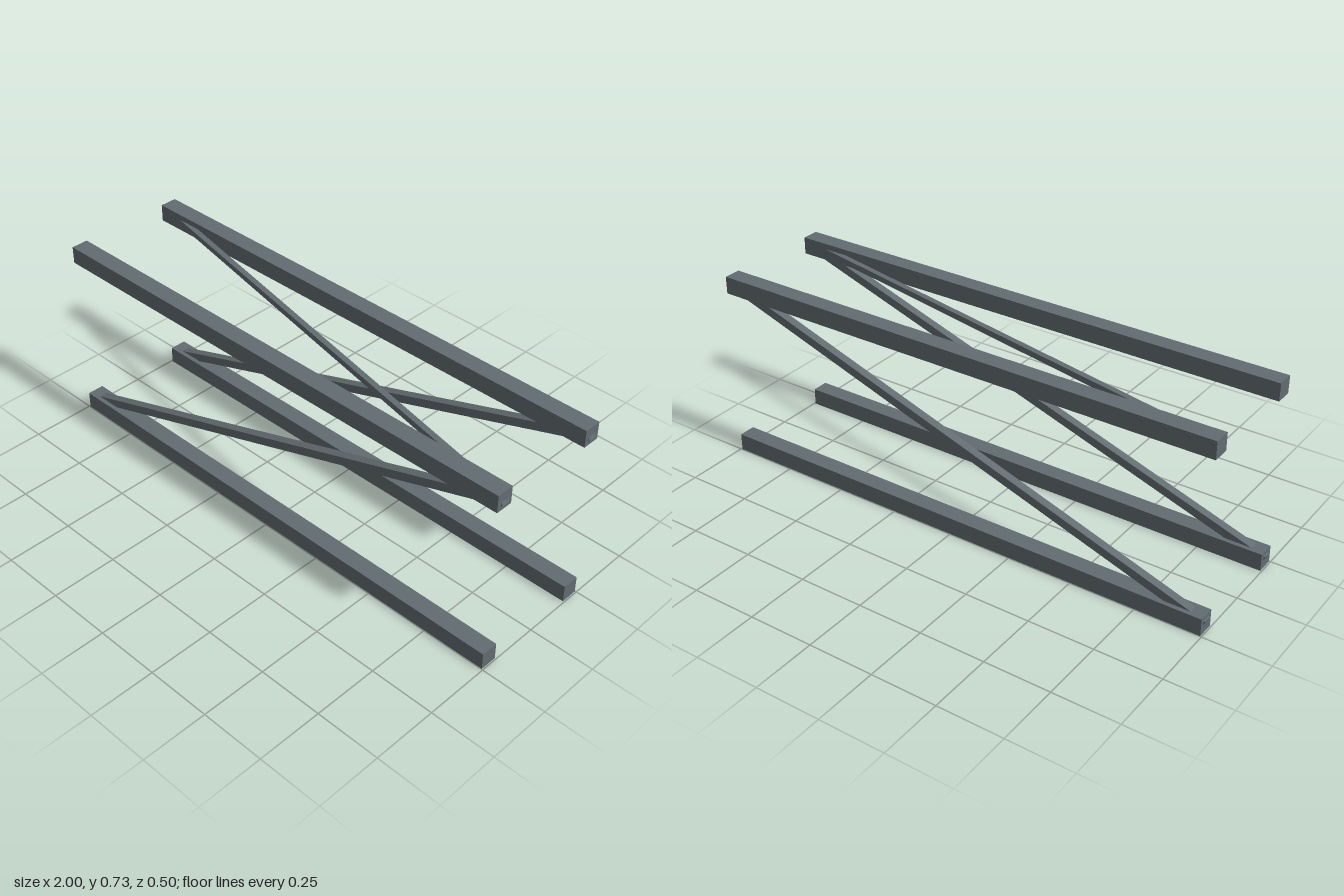
import * as THREE from 'three';

const HALF = 0.995;            // half length of the chords
const CHORD = 0.066;           // square section of the chords
const LOW = 0.033, HIGH = 0.698, SIDE = 0.215;

export function createModel() {
  const group = new THREE.Group();
  const steel = new THREE.MeshStandardMaterial({ color: 0x626c71 });
  steel.name = 'greySteel';

  // Square bar whose centre line runs between two points
  function bar(name, a, b, size) {
    const from = new THREE.Vector3(...a), to = new THREE.Vector3(...b);
    const mesh = new THREE.Mesh(new THREE.BoxGeometry(size, size, from.distanceTo(to)), steel);
    mesh.name = name;
    mesh.position.copy(from).add(to).multiplyScalar(0.5);
    mesh.lookAt(to);
    group.add(mesh);
  }

  for (const [side, z] of [['front', SIDE], ['back', -SIDE]]) {
    // Lower and upper chords
    bar(side + 'LowerChord', [-HALF, LOW, z], [HALF, LOW, z], CHORD);
    bar(side + 'UpperChord', [-HALF, HIGH, z], [HALF, HIGH, z], CHORD);
    // Diagonal brace of each side
    bar(side + 'DiagonalBrace', [-HALF, LOW, z], [HALF, HIGH, z], 0.032);
  }

  // Thin diagonal brace across the top
  bar('topDiagonalBrace', [-HALF, HIGH, -SIDE], [HALF, HIGH, SIDE], 0.022);

  return group;
}
